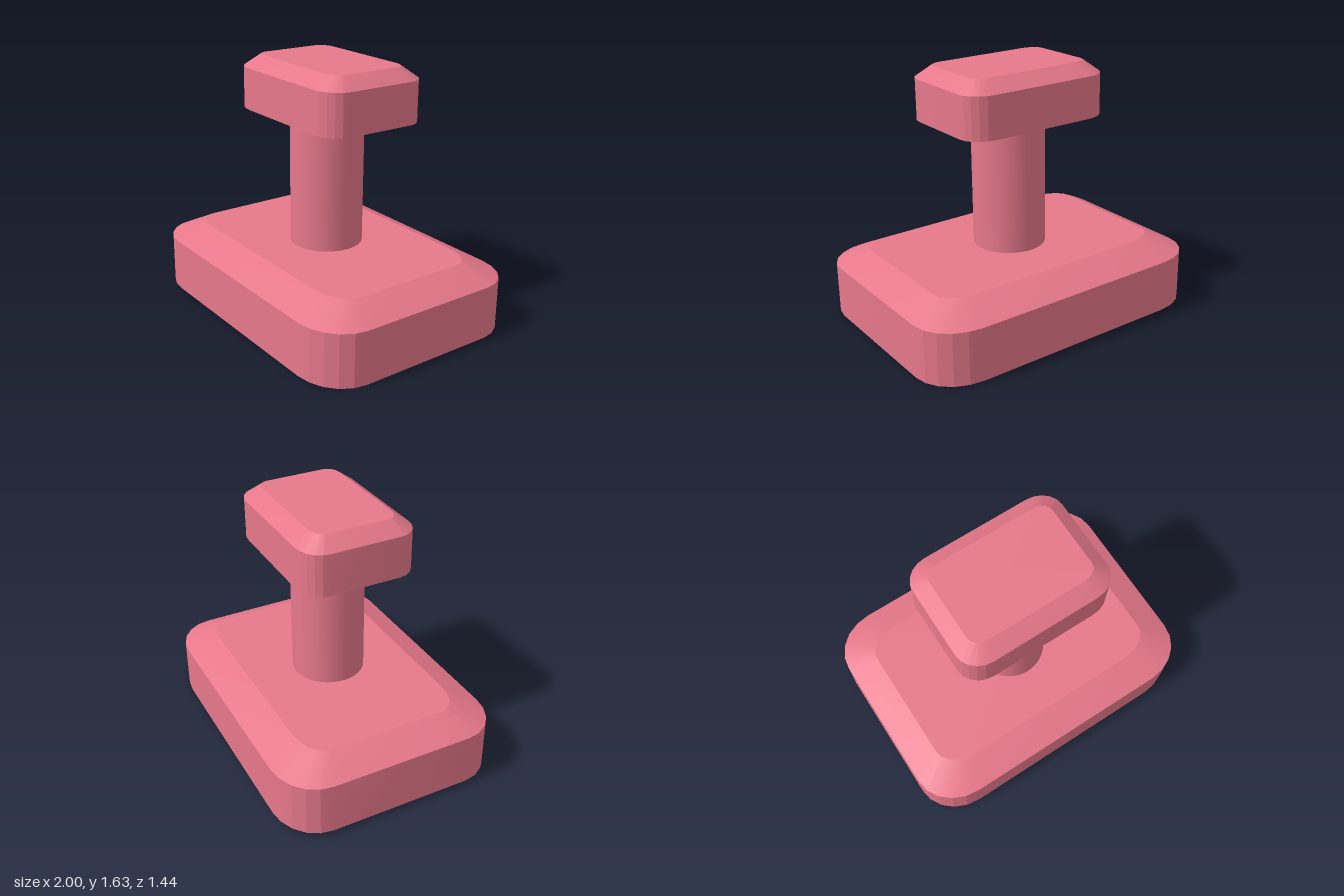
import * as THREE from 'three';
import { toCreasedNormals } from 'three/addons/utils/BufferGeometryUtils.js';

const CORNER_STEPS = 5;

// Outline of a rounded rectangle with elliptical corners, at height y
function ring({ y, hx, hz, rx, rz }) {
  const points = [];
  [[1, 1], [-1, 1], [-1, -1], [1, -1]].forEach(([sx, sz], corner) => {
    for (let i = 0; i <= CORNER_STEPS; i++) {
      const a = (corner + i / CORNER_STEPS) * Math.PI / 2;
      points.push([sx * (hx - rx) + rx * Math.cos(a), y, sz * (hz - rz) + rz * Math.sin(a)]);
    }
  });
  return points;
}

// Closed slab through a stack of outlines, from bottom to top
function slabGeometry(sections) {
  const rings = sections.map(ring);
  const n = rings[0].length;
  const positions = rings.flat(2);
  const index = [];
  for (let r = 0; r < rings.length - 1; r++) {
    for (let i = 0; i < n; i++) {
      const a = r * n + i, b = r * n + (i + 1) % n;
      index.push(a, a + n, b, b, a + n, b + n);
    }
  }
  const bottom = positions.length / 3, top = bottom + 1;
  positions.push(0, sections[0].y, 0, 0, sections.at(-1).y, 0);
  const last = (rings.length - 1) * n;
  for (let i = 0; i < n; i++) {
    const j = (i + 1) % n;
    index.push(bottom, i, j, top, last + j, last + i);
  }
  const geometry = new THREE.BufferGeometry();
  geometry.setAttribute('position', new THREE.Float32BufferAttribute(positions, 3));
  geometry.setIndex(index);
  return toCreasedNormals(geometry, 0.2);
}

export function createModel() {
  const model = new THREE.Group();
  model.name = 'pedestalHandle';
  const material = new THREE.MeshStandardMaterial({ color: 0xe6788a });

  const add = (name, geometry, x = 0, y = 0, z = 0) => {
    const mesh = new THREE.Mesh(geometry, material);
    mesh.name = name;
    mesh.position.set(x, y, z);
    model.add(mesh);
  };

  // Wide base with a sloping bevel
  add('base', slabGeometry([
    { y: 0, hx: 0.995, hz: 0.72, rx: 0.3, rz: 0.26 },
    { y: 0.338, hx: 0.995, hz: 0.72, rx: 0.3, rz: 0.26 },
    { y: 0.436, hx: 0.805, hz: 0.52, rx: 0.22, rz: 0.14 },
  ]));

  // Round stem, sunk slightly into both slabs
  const stem = new THREE.CylinderGeometry(0.232, 0.232, 0.9, 48);
  add('stem', stem, -0.005, 0.86, 0.01);

  // Smaller bevelled cap
  add('cap', slabGeometry([
    { y: 1.269, hx: 0.506, hz: 0.366, rx: 0.16, rz: 0.14 },
    { y: 1.533, hx: 0.506, hz: 0.366, rx: 0.16, rz: 0.14 },
    { y: 1.608, hx: 0.412, hz: 0.266, rx: 0.1, rz: 0.07 },
  ]), -0.005);

  // The whole piece leans slightly towards +x
  model.rotation.z = -0.0165;
  model.position.set(-0.002, 0.0165, 0);
  const root = new THREE.Group();
  root.name = 'model';
  root.add(model);
  return root;
}
